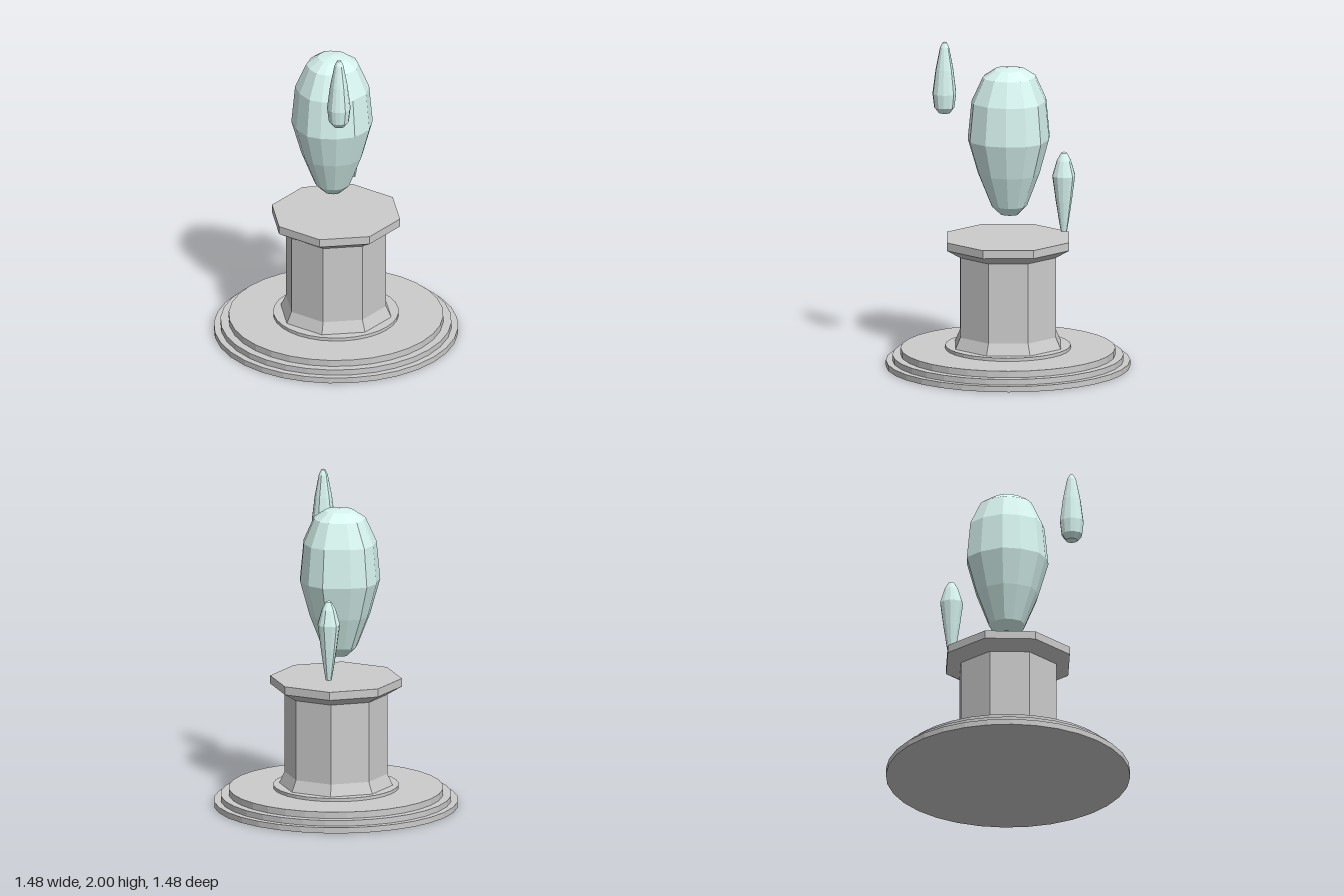
import * as THREE from 'three';

const stone = new THREE.MeshStandardMaterial({ color: 0xcccccc, flatShading: true });
const crystal = new THREE.MeshStandardMaterial({ color: 0xd8f5f0, flatShading: true });

// Irregular crystal cross-section [x, z], counter-clockwise seen from +y
const outline = [
  [0, 0.262], [0.13, 0.215], [0.212, 0.115], [0.247, -0.005], [0.222, -0.11], [0.09, -0.22],
  [0, -0.262], [-0.11, -0.22], [-0.218, -0.125], [-0.248, -0.015], [-0.243, 0.105], [-0.19, 0.175], [-0.11, 0.23],
];

// Faceted solid of revolution from [radius, y] points
function turned(name, profile, sides) {
  const points = profile.map(([r, y]) => new THREE.Vector2(r, y));
  const mesh = new THREE.Mesh(new THREE.LatheGeometry(points, sides), stone);
  mesh.name = name;
  return mesh;
}

// Crystal lofted through scaled outlines; rings are [scale, y] from bottom to top
function shard(name, rings, x, z) {
  const n = outline.length;
  const pos = [];
  const index = [];
  for (const [s, y] of rings) for (const [px, pz] of outline) pos.push(px * s, y, pz * s);
  for (let r = 0; r < rings.length - 1; r++) {
    for (let i = 0; i < n; i++) {
      const a = r * n + i;
      const b = r * n + (i + 1) % n;
      index.push(a, b, b + n, a, b + n, a + n);
    }
  }
  const geometry = new THREE.BufferGeometry();
  geometry.setAttribute('position', new THREE.Float32BufferAttribute(pos, 3));
  geometry.setIndex(index);
  geometry.computeVertexNormals();
  const mesh = new THREE.Mesh(geometry, crystal);
  mesh.name = name;
  mesh.position.set(x, 0, z);
  return mesh;
}

export function createModel() {
  const model = new THREE.Group();
  model.name = 'floatingCrystalPedestal';

  // Stepped round base
  model.add(turned('steppedBase', [
    [0, 0], [0.74, 0], [0.74, 0.035], [0.7, 0.035], [0.7, 0.07], [0.65, 0.07],
    [0.65, 0.11], [0.38, 0.11], [0.38, 0.13], [0, 0.13],
  ], 32));

  // Octagonal column with flared foot and bevelled cap
  model.add(turned('column', [[0.345, 0.13], [0.313, 0.2], [0.313, 0.695]], 8));
  model.add(turned('cap', [[0, 0.695], [0.315, 0.695], [0.4, 0.745], [0.4, 0.795], [0, 0.795]], 8));

  // Large floating crystal
  model.add(shard('mainCrystal', [
    [0, 0.932], [0.22, 0.936], [0.44, 0.99], [0.76, 1.19], [1, 1.4],
    [0.91, 1.635], [0.64, 1.785], [0.36, 1.833], [0, 1.845],
  ], -0.012, -0.017));

  // Two small crystals hovering beside it
  model.add(shard('upperSmallCrystal', [
    [0, 1.555], [0.14, 1.56], [0.25, 1.595], [0.29, 1.68], [0.215, 1.83], [0.11, 1.965], [0.05, 1.995], [0, 2],
  ], -0.18, 0.34));
  model.add(shard('lowerSmallCrystal', [
    [0, 0.86], [0.075, 0.865], [0.12, 0.93], [0.2, 1.06], [0.28, 1.21], [0.17, 1.305], [0.07, 1.352], [0, 1.36],
  ], 0.268, -0.255));

  return model;
}
